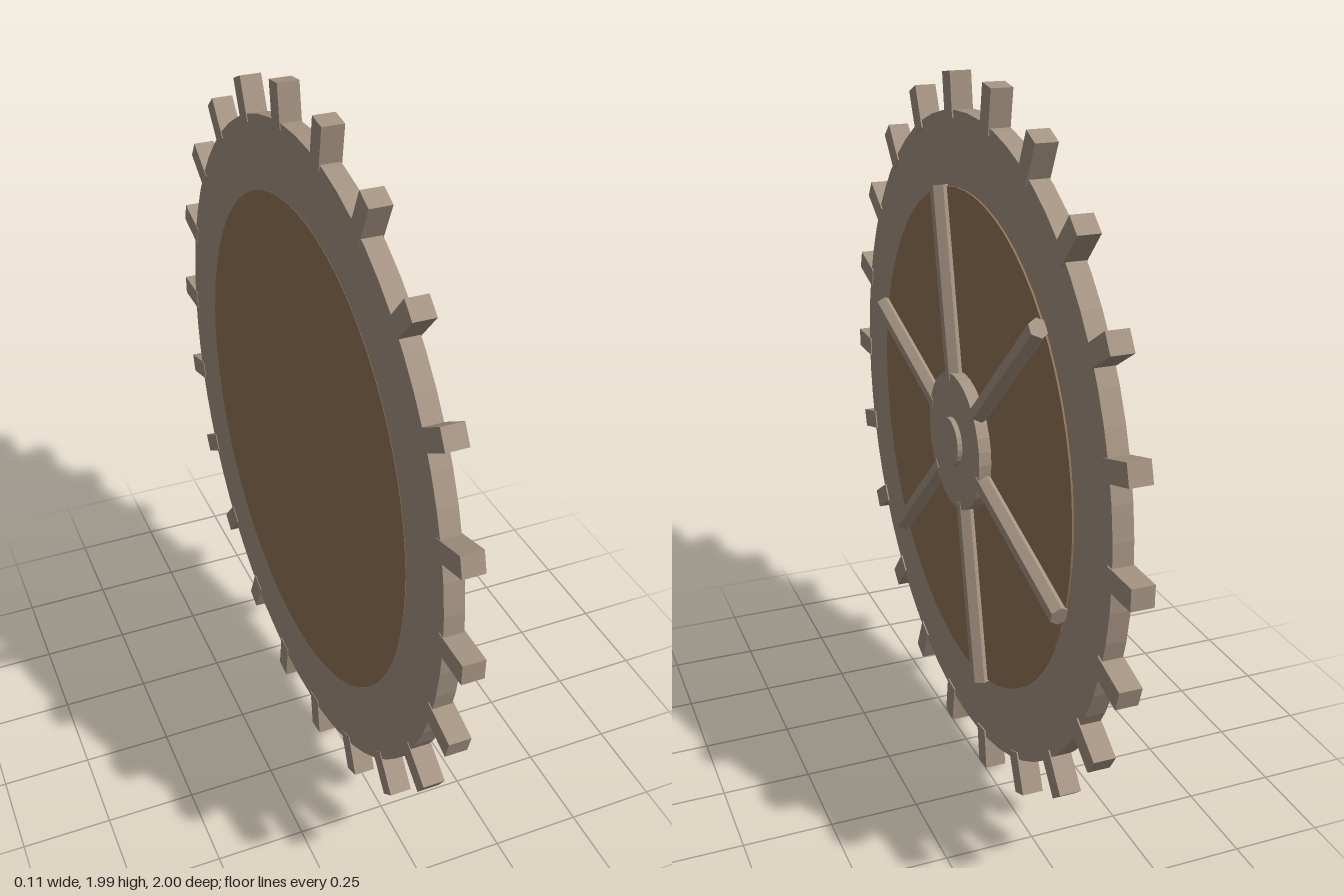
import * as THREE from 'three';

const TEETH = 22;
const SPOKES = 6;

export function createModel() {
  const wheel = new THREE.Group();
  wheel.name = 'cogWheel';

  const stone = new THREE.MeshStandardMaterial({ color: 0xa59482, flatShading: true });
  stone.name = 'greyBrown';
  const wood = new THREE.MeshStandardMaterial({ color: 0x947657, flatShading: true });
  wood.name = 'warmBrown';

  const add = (name, geometry, material) => {
    const mesh = new THREE.Mesh(geometry, material);
    mesh.name = name;
    wheel.add(mesh);
    return mesh;
  };

  // Disc lying across the x axis, from x0 to x1
  const disc = (name, radius, x0, x1, sides, material) => {
    const geometry = new THREE.CylinderGeometry(radius, radius, x1 - x0, sides);
    geometry.rotateZ(-Math.PI / 2).translate((x0 + x1) / 2, 0, 0);
    return add(name, geometry, material);
  };

  // Wheel body with its inset panel, hub and axle cap
  disc('rim', 0.9, -0.056, -0.002, 64, stone);
  disc('panel', 0.7, -0.057, 0.003, 64, wood);
  disc('hub', 0.195, -0.02, 0.038, 32, stone);
  disc('axleCap', 0.07, 0, 0.052, 24, stone);

  // Square teeth around the rim
  const tooth = new THREE.BoxGeometry(0.06, 0.12, 0.057).translate(-0.028, 0.939, 0);
  for (let i = 0; i < TEETH; i++) {
    add('tooth', tooth, stone).rotation.x = Math.PI / 2 + (i * 2 * Math.PI) / TEETH;
  }

  // Six-sided spokes half sunk into the panel
  const spoke = new THREE.CylinderGeometry(0.028, 0.028, 0.53, SPOKES).translate(0.016, 0.44, 0);
  for (let i = 0; i < SPOKES; i++) {
    add('spoke', spoke, stone).rotation.x = THREE.MathUtils.degToRad(13 + i * 60);
  }

  // Stand the wheel on the ground
  wheel.children.forEach((part) => { part.position.y = 1; });
  return wheel;
}
